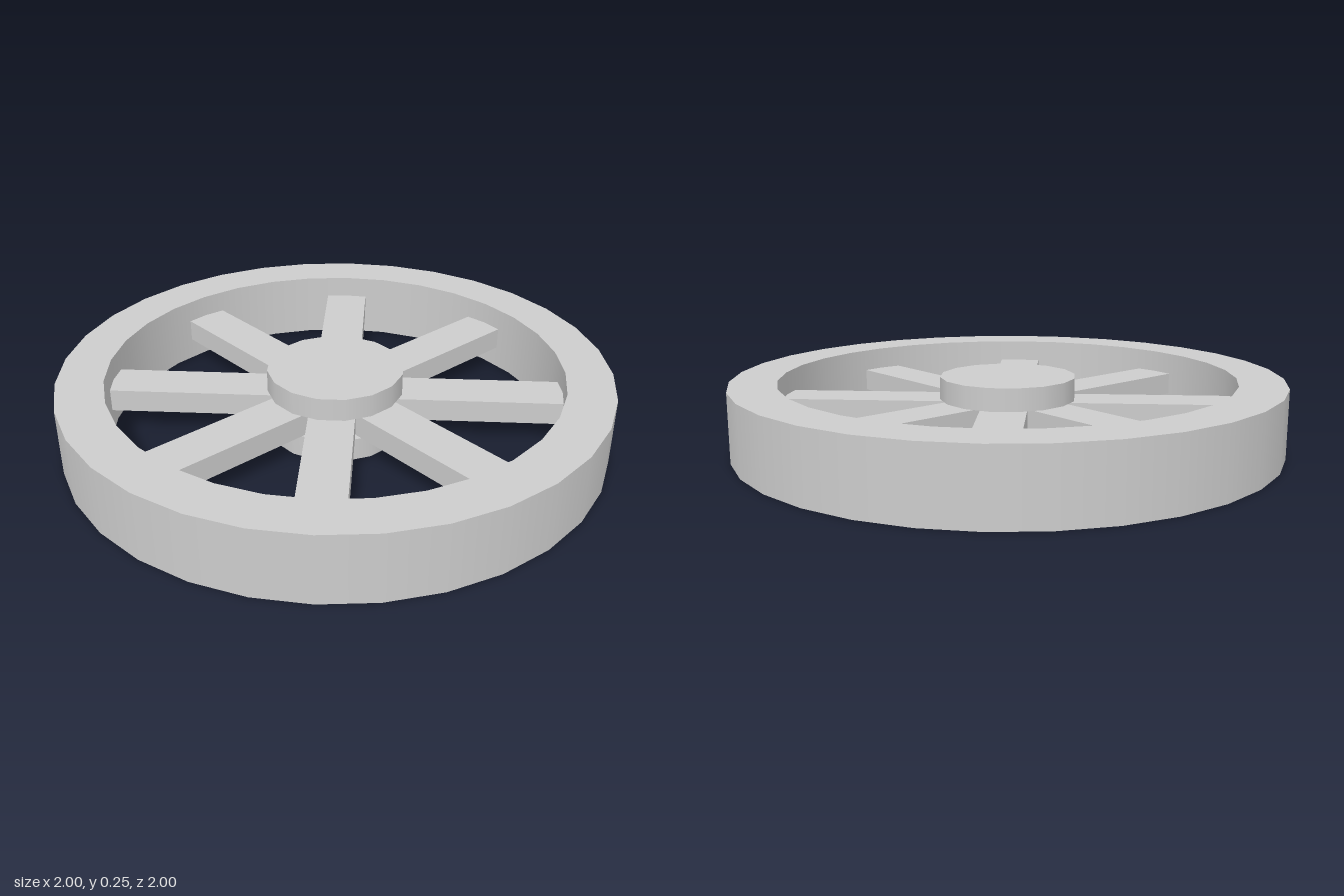
import * as THREE from 'three';
import { mergeGeometries } from 'three/addons/utils/BufferGeometryUtils.js';

const HEIGHT = 0.25;
const LAYER = HEIGHT / 3; // discs and spokes each take a third of the height
const OUTER = 1;
const INNER = 0.83;
const HUB = 0.25;

// Ring of rectangular section: smooth around, sharp at the rims
function ringGeometry(inner, outer, height, sides) {
  const corners = [[outer, 0], [outer, height], [inner, height], [inner, 0]]
    .map(([r, y]) => new THREE.Vector2(r, y));
  return mergeGeometries(corners.map((p, i) =>
    new THREE.LatheGeometry([p, corners[(i + 1) % 4]], sides)));
}

export function createModel() {
  const grey = new THREE.MeshStandardMaterial({ color: 0xcccccc });
  grey.name = 'light grey';
  const wheel = new THREE.Group();
  wheel.name = 'wheel';

  const add = (name, geometry, y) => {
    const mesh = new THREE.Mesh(geometry, grey);
    mesh.name = name;
    mesh.position.y = y;
    wheel.add(mesh);
    return mesh;
  };

  // Outer rim
  add('rim', ringGeometry(INNER, OUTER, HEIGHT, 32), 0);

  // Two hub discs sandwiching the spokes
  const disc = new THREE.CylinderGeometry(HUB, HUB, LAYER, 16);
  disc.rotateY(Math.PI / 16);
  add('lowerHub', disc, LAYER / 2);
  add('upperHub', disc, HEIGHT - LAYER / 2);

  // Eight spokes from the centre to the rim
  const spoke = new THREE.BoxGeometry(INNER, LAYER, 0.165);
  spoke.translate(INNER / 2, 0, 0);
  for (let i = 0; i < 8; i++) {
    add(`spoke${i + 1}`, spoke, HEIGHT / 2).rotation.y = (i * Math.PI) / 4;
  }

  return wheel;
}
